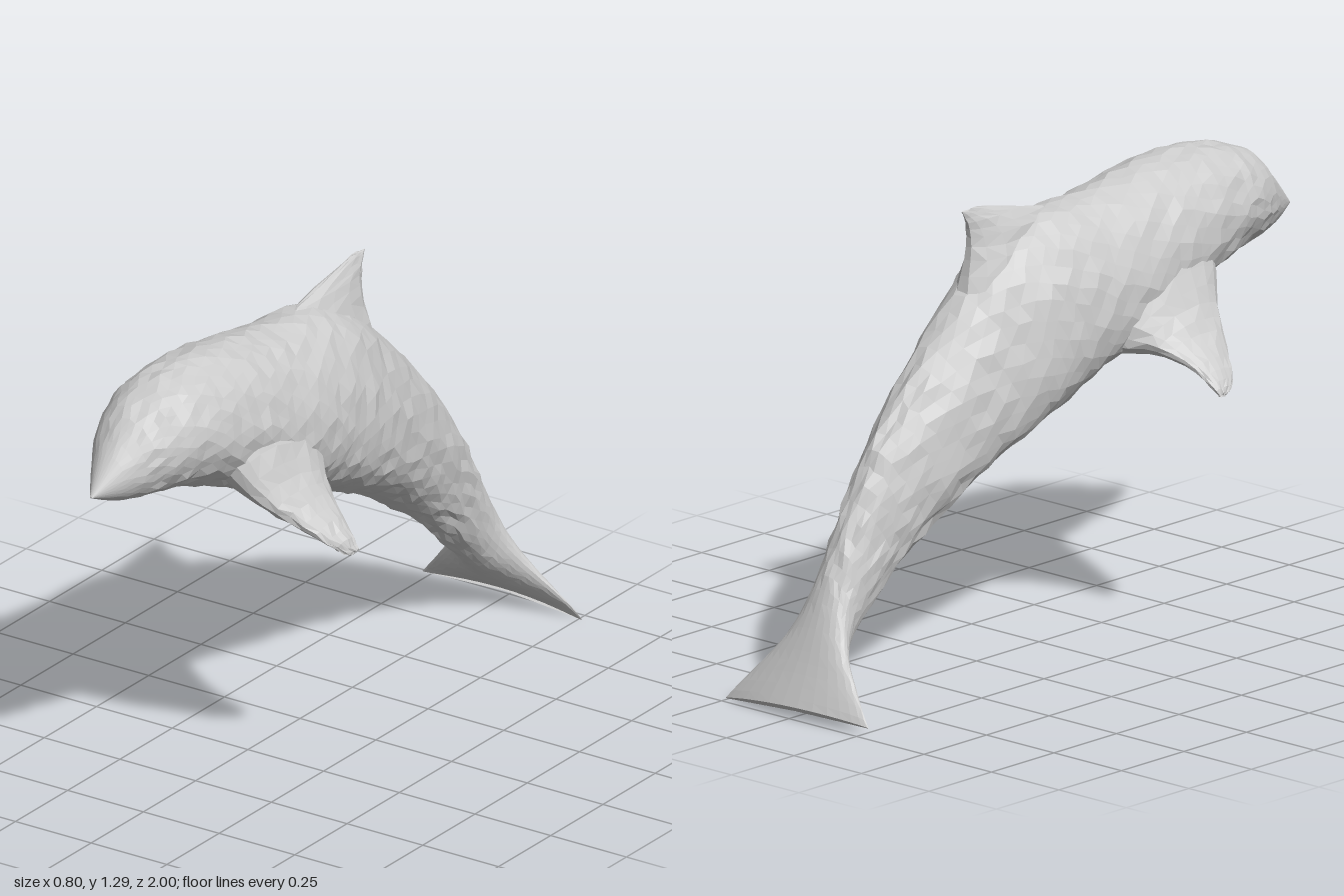
import * as THREE from 'three';

const material = new THREE.MeshStandardMaterial({ color: 0xcccccc, flatShading: true });

// Small seeded generator, returns -1..1
function makeRandom(seed) {
  let s = seed;
  return () => {
    s = (s * 16807) % 2147483647;
    return (s / 2147483647) * 2 - 1;
  };
}

// Smoothly resample a list of section rows into count + 1 rows
function resample(rows, count) {
  const columns = rows[0].map((_, c) =>
    new THREE.SplineCurve(rows.map((row, i) => new THREE.Vector2(i, row[c]))));
  return Array.from({ length: count + 1 }, (_, i) =>
    columns.map((curve) => curve.getPoint(i / count).y));
}

// Skin a list of closed rings, closing both ends at their centres
function loft(rings, name) {
  const n = rings[0].length;
  const centre = (ring) => {
    const c = new THREE.Vector3();
    ring.forEach((p) => c.add(p));
    c.divideScalar(n);
    return ring.map(() => c.clone());
  };
  const all = [centre(rings[0]), ...rings, centre(rings[rings.length - 1])];
  const index = [];
  for (let i = 0; i < all.length - 1; i++) {
    for (let j = 0; j < n; j++) {
      const k = (j + 1) % n;
      const a = i * n + j, b = (i + 1) * n + j, c = (i + 1) * n + k, d = i * n + k;
      // Alternate the diagonal so staggered rings get even triangles
      if (i % 2) index.push(a, b, d, b, c, d);
      else index.push(a, b, c, a, c, d);
    }
  }
  const geometry = new THREE.BufferGeometry().setFromPoints(all.flat());
  geometry.setIndex(index);
  geometry.computeVertexNormals();
  const mesh = new THREE.Mesh(geometry, material);
  mesh.name = name;
  return mesh;
}

// Body and tail fluke: [top z, top y, bottom z, bottom y, half width, belly fullness]
function createBody() {
  const rows = [
    [1.0, 1.032, 1.0, 1.028, 0.004, 0],
    [0.9, 1.14, 0.91, 0.99, 0.066, 0],
    [0.8, 1.23, 0.81, 0.968, 0.122, 0],
    [0.68, 1.272, 0.7, 0.955, 0.157, 0.02],
    [0.55, 1.285, 0.57, 0.915, 0.176, 0.05],
    [0.4, 1.275, 0.43, 0.86, 0.19, 0.07],
    [0.25, 1.25, 0.3, 0.81, 0.197, 0.09],
    [0.1, 1.232, 0.19, 0.772, 0.199, 0.11],
    [-0.04, 1.222, 0.09, 0.732, 0.196, 0.13],
    [-0.17, 1.17, -0.01, 0.692, 0.19, 0.15],
    [-0.3, 1.065, -0.12, 0.642, 0.175, 0.15],
    [-0.45, 0.925, -0.27, 0.573, 0.151, 0.13],
    [-0.59, 0.78, -0.43, 0.475, 0.121, 0.1],
    [-0.7, 0.64, -0.58, 0.37, 0.093, 0.06],
    [-0.79, 0.49, -0.7, 0.262, 0.076, 0.03],
    [-0.855, 0.36, -0.8, 0.168, 0.076, 0],
    [-0.905, 0.24, -0.87, 0.105, 0.116, 0],
    [-0.95, 0.135, -0.925, 0.06, 0.187, 0],
    [-0.998, 0.034, -0.985, 0.02, 0.26, 0],
  ];
  const count = 64, sides = 30;
  const random = makeRandom(71);
  const rings = resample(rows, count).map(([tz, ty, bz, by, w, belly], i) => {
    const t = i / count;
    const rough = 0.005 * THREE.MathUtils.smoothstep(t, 0.03, 0.15)
      * (1 - THREE.MathUtils.smoothstep(t, 0.72, 0.9));
    const stagger = t < 0.8 ? (i % 2) * 0.5 : 0;
    const sweep = t ** 10;
    return Array.from({ length: sides }, (_, j) => {
      const a = ((j + stagger) / sides) * Math.PI * 2;
      const v = 0.5 + 0.5 * Math.sin(a) - belly * Math.cos(a) ** 2;
      const x = w * Math.cos(a);
      const droop = sweep * (0.27 * x * x + 0.03 * x);
      return new THREE.Vector3(
        x + random() * rough,
        THREE.MathUtils.lerp(by, ty, v) - droop + random() * rough,
        THREE.MathUtils.lerp(bz, tz, v) + sweep * (0.36 * x * x - 0.02 * x) + random() * rough * 1.5,
      );
    });
  });
  return loft(rings, 'body');
}

// Dorsal fin: [height, front z, back z, half thickness]
function createDorsalFin() {
  const rows = [
    [0.99, -0.02, -0.335, 0.085],
    [1.1, 0.04, -0.3, 0.066],
    [1.18, 0.08, -0.286, 0.046],
    [1.232, 0.02, -0.288, 0.028],
    [1.268, -0.15, -0.299, 0.013],
    [1.288, -0.24, -0.31, 0.004],
  ];
  const random = makeRandom(19);
  const rings = resample(rows, 10).map(([y, front, back, thick]) =>
    Array.from({ length: 14 }, (_, j) => {
      const a = (j / 14) * Math.PI * 2;
      // Thickest behind the middle, tapering to the leading edge
      const taper = 1 - 0.2 * Math.sin(a);
      return new THREE.Vector3(
        thick * taper * Math.cos(a) + random() * thick * 0.08,
        y + random() * 0.003,
        (front + back) / 2 + ((front - back) / 2) * Math.sin(a),
      );
    }));
  return loft(rings, 'dorsalFin');
}

// Flipper with a broad shoulder: [x, y, front z, back z, half thickness, forward rise]
function createFlipper(side, name) {
  const rows = [
    [0.03, 1.0, 0.6, 0.05, 0.13, 0.35],
    [0.1, 0.96, 0.57, 0.075, 0.122, 0.33],
    [0.16, 0.905, 0.53, 0.125, 0.092, 0.25],
    [0.215, 0.86, 0.485, 0.19, 0.058, 0.14],
    [0.27, 0.82, 0.445, 0.235, 0.036, 0.06],
    [0.33, 0.778, 0.405, 0.268, 0.023, 0],
    [0.375, 0.738, 0.37, 0.285, 0.014, 0],
    [0.394, 0.712, 0.33, 0.293, 0.006, 0],
  ];
  const random = makeRandom(side > 0 ? 37 : 53);
  const rings = resample(rows, 14).map(([x, y, front, back, thick, rise]) => {
    const ring = Array.from({ length: 18 }, (_, j) => {
      const a = (j / 18) * Math.PI * 2;
      const dz = -((front - back) / 2) * Math.sin(a);
      // Thickness leans outward, square to the drooping blade
      return new THREE.Vector3(
        side * (x + 0.4 * thick * Math.cos(a) + random() * 0.003),
        y + thick * Math.cos(a) + rise * dz + random() * 0.003,
        (front + back) / 2 + dz + random() * 0.003,
      );
    });
    return side > 0 ? ring : ring.reverse();
  });
  return loft(rings, name);
}

export function createModel() {
  const model = new THREE.Group();
  model.name = 'dolphin';
  model.add(
    createBody(),
    createDorsalFin(),
    createFlipper(1, 'leftFlipper'),
    createFlipper(-1, 'rightFlipper'),
  );
  return model;
}
